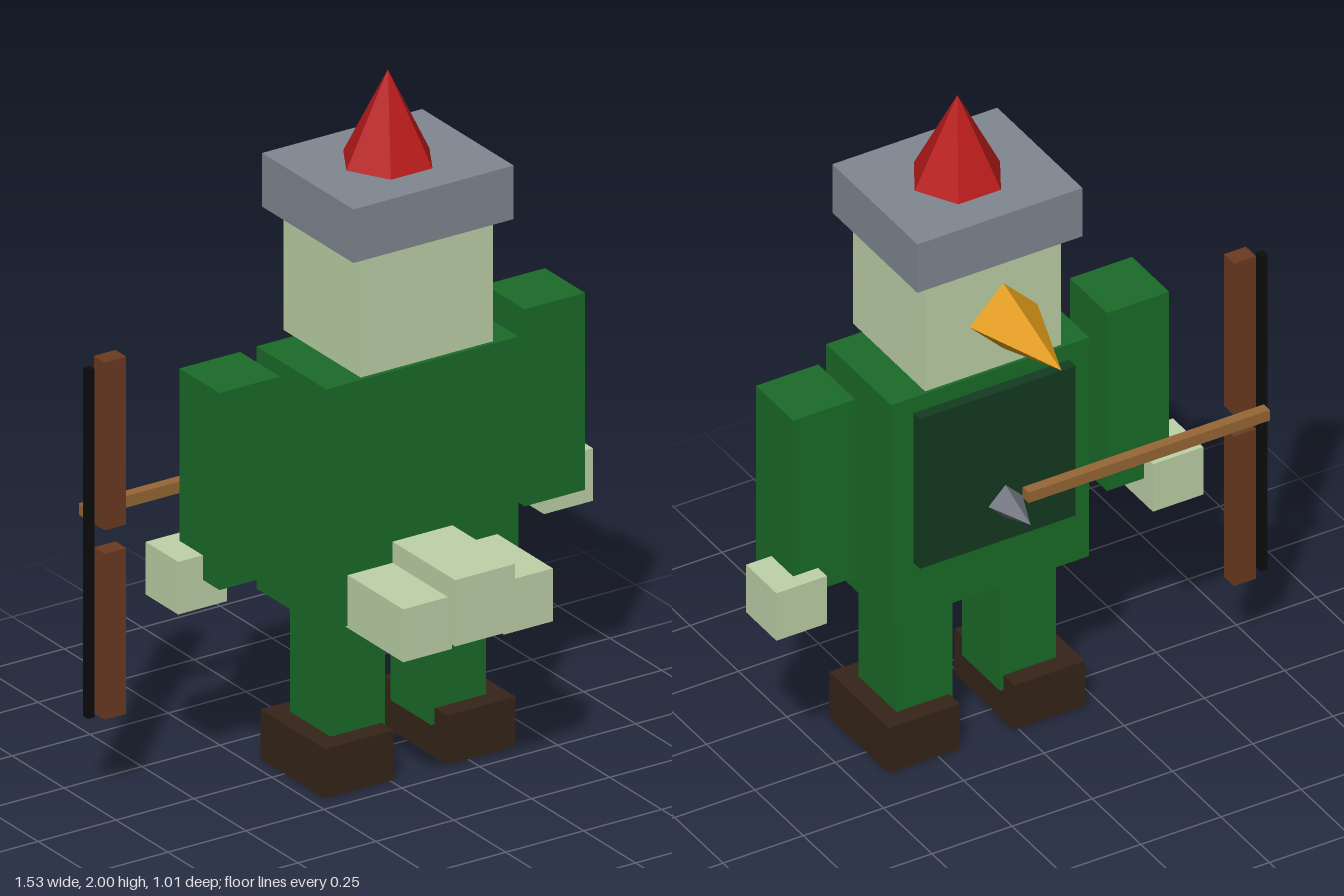
import * as THREE from 'three';

const CX = 0.097; // figure's own centre line; the bow offsets it from x = 0

const mat = (color) => new THREE.MeshStandardMaterial({ color, flatShading: true });
const green = mat(0x1a6b28), skin = mat(0xbdd2a8), grey = mat(0x808792), red = mat(0xb81a1a);
const leather = mat(0x352418), wood = mat(0x6b3a20), paleWood = mat(0x966735);
const darkGreen = mat(0x143a20), orange = mat(0xe09a18), steel = mat(0x70727e), black = mat(0x0c0c0c);

export function createModel() {
  const model = new THREE.Group();

  const add = (name, geometry, material, x, y, z) => {
    const mesh = new THREE.Mesh(geometry, material);
    mesh.name = name;
    mesh.position.set(x, y, z);
    model.add(mesh);
    return mesh;
  };
  // Box given by its extents on each axis
  const box = (name, material, [x0, x1], [y0, y1], [z0, z1]) =>
    add(name, new THREE.BoxGeometry(x1 - x0, y1 - y0, z1 - z0), material,
      (x0 + x1) / 2, (y0 + y1) / 2, (z0 + z1) / 2);
  // The same box on both sides of the centre line, x measured from it
  const pair = (name, material, [x0, x1], y, z) => {
    box('left' + name, material, [CX + x0, CX + x1], y, z);
    box('right' + name, material, [CX - x1, CX - x0], y, z);
  };
  // Four-sided spike pointing backwards
  const spike = (name, material, radius, length, x, y, zBase) =>
    add(name, new THREE.ConeGeometry(radius, length, 4).rotateX(-Math.PI / 2), material,
      x, y, zBase - length / 2);

  // Body, head and hat
  box('torso', green, [-0.212, 0.405], [0.494, 1.203], [-0.132, 0.204]);
  box('backPanel', darkGreen, [-0.15, 0.335], [0.667, 1.153], [-0.165, -0.12]);
  box('head', skin, [-0.116, 0.308], [1.222, 1.58], [-0.146, 0.226]);
  box('hatBrim', grey, [-0.16, 0.354], [1.58, 1.737], [-0.183, 0.257]);
  add('hatTip', new THREE.ConeGeometry(0.133, 0.263, 6).rotateY(Math.PI / 6), red, CX, 1.8685, 0.037);
  spike('beak', orange, 0.106, 0.3, CX, 1.425, -0.201);

  // Limbs
  pair('Arm', green, [0.392, 0.586], [0.648, 1.225], [-0.086, 0.106]);
  pair('Hand', skin, [0.508, 0.665], [0.566, 0.72], [-0.131, 0.026]);
  pair('Leg', green, [0.074, 0.249], [0.098, 0.51], [-0.061, 0.135]);
  pair('Boot', leather, [0.085, 0.306], [0, 0.145], [-0.116, 0.193]);

  // Three blocks at the waist
  pair('WaistBlock', skin, [0.083, 0.24], [0.487, 0.642], [0.19, 0.471]);
  box('middleWaistBlock', skin, [0.001, 0.193], [0.51, 0.704], [0.18, 0.505]);

  // Bow
  box('upperBowLimb', wood, [-0.721, -0.652], [0.804, 1.296], [-0.15, -0.098]);
  box('lowerBowLimb', wood, [-0.721, -0.652], [0.25, 0.735], [-0.15, -0.098]);
  box('bowString', black, [-0.765, -0.743], [0.257, 1.278], [-0.136, -0.113]);

  // Arrow
  box('arrowShaft', paleWood, [-0.722, 0.03], [0.804, 0.838], [-0.22, -0.189]);
  spike('arrowHead', steel, 0.053, 0.13, 0.09, 0.82, -0.2);

  return model;
}
